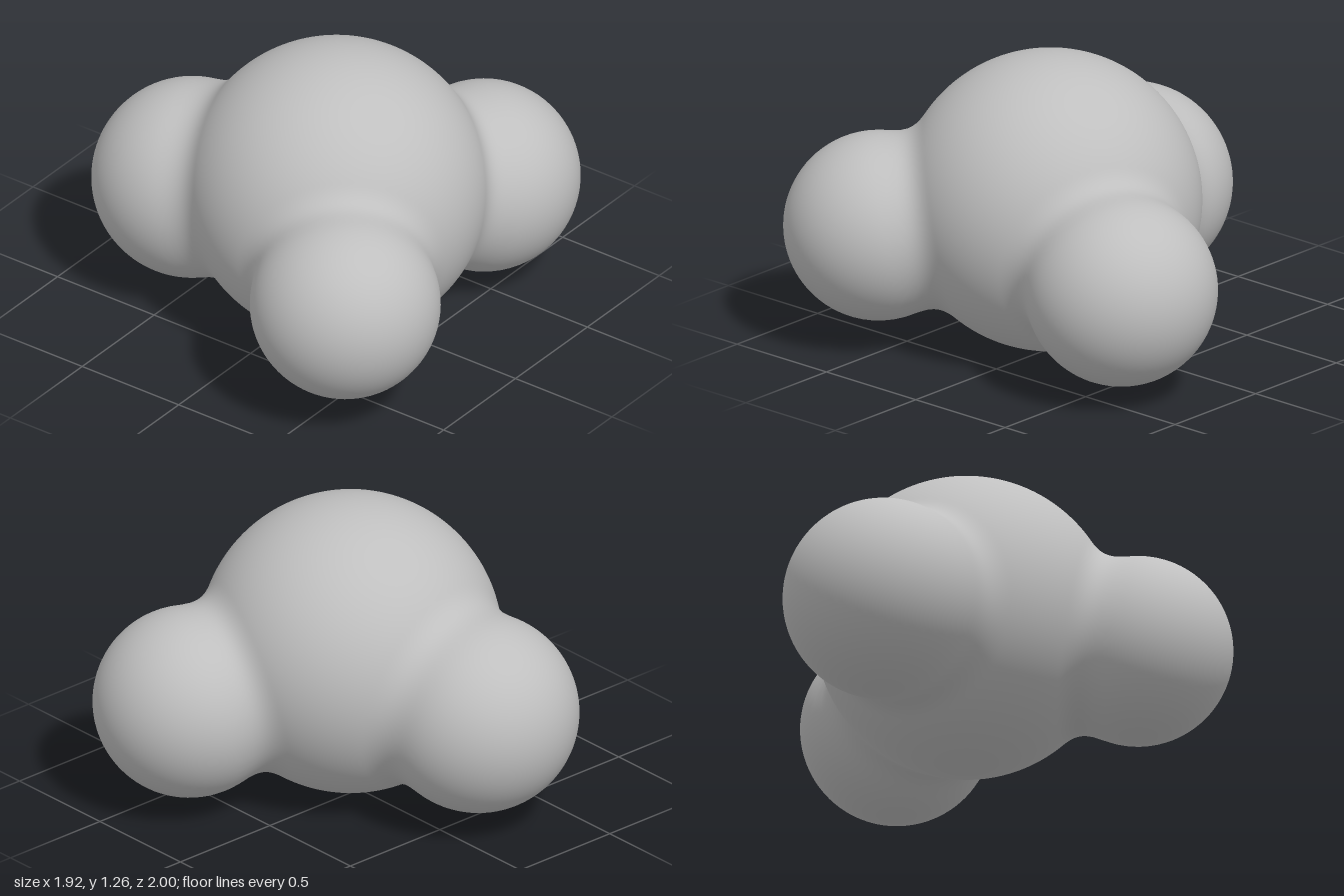
import * as THREE from 'three';
import { mergeVertices } from 'three/addons/utils/BufferGeometryUtils.js';

// The core ball, then three smaller balls fused into it
const core = { center: new THREE.Vector3(0.11, 0.64, 0.05), radius: 0.632 };
const lobes = [
  { center: new THREE.Vector3(-0.54, 0.51, 0.18), radius: 0.42 },
  { center: new THREE.Vector3(0.565, 0.515, 0.6), radius: 0.397 },
  { center: new THREE.Vector3(0.39, 0.475, -0.6), radius: 0.402 },
];
const BLEND = 0.11;

function smoothMin(a, b) {
  const h = Math.max(BLEND - Math.abs(a - b), 0) / BLEND;
  return Math.min(a, b) - h * h * BLEND / 4;
}

// Signed distance to the fused body
function distance(p) {
  let d = p.distanceTo(core.center) - core.radius;
  for (const lobe of lobes) d = smoothMin(d, p.distanceTo(lobe.center) - lobe.radius);
  return d;
}

// Every ray from the core leaves the body once, so an icosphere can be pushed out to the skin
function fusedBody() {
  let geometry = new THREE.IcosahedronGeometry(1, 44);
  geometry.deleteAttribute('normal');
  geometry.deleteAttribute('uv');
  geometry = mergeVertices(geometry, 1e-5);
  const position = geometry.attributes.position;
  const direction = new THREE.Vector3();
  const point = new THREE.Vector3();
  for (let i = 0; i < position.count; i++) {
    direction.fromBufferAttribute(position, i).normalize();
    let near = 0.4, far = 1.4;
    for (let step = 0; step < 24; step++) {
      const middle = (near + far) / 2;
      point.copy(core.center).addScaledVector(direction, middle);
      if (distance(point) < 0) near = middle;
      else far = middle;
    }
    position.setXYZ(i, point.x, point.y, point.z);
  }
  geometry.computeVertexNormals();
  return geometry;
}

export function createModel() {
  const group = new THREE.Group();
  group.name = 'fusedBalls';
  const grey = new THREE.MeshStandardMaterial({ color: 0xbfbfbf });
  grey.name = 'light grey';
  const body = new THREE.Mesh(fusedBody(), grey);
  body.name = 'coreWithThreeLobes';
  group.add(body);
  return group;
}
